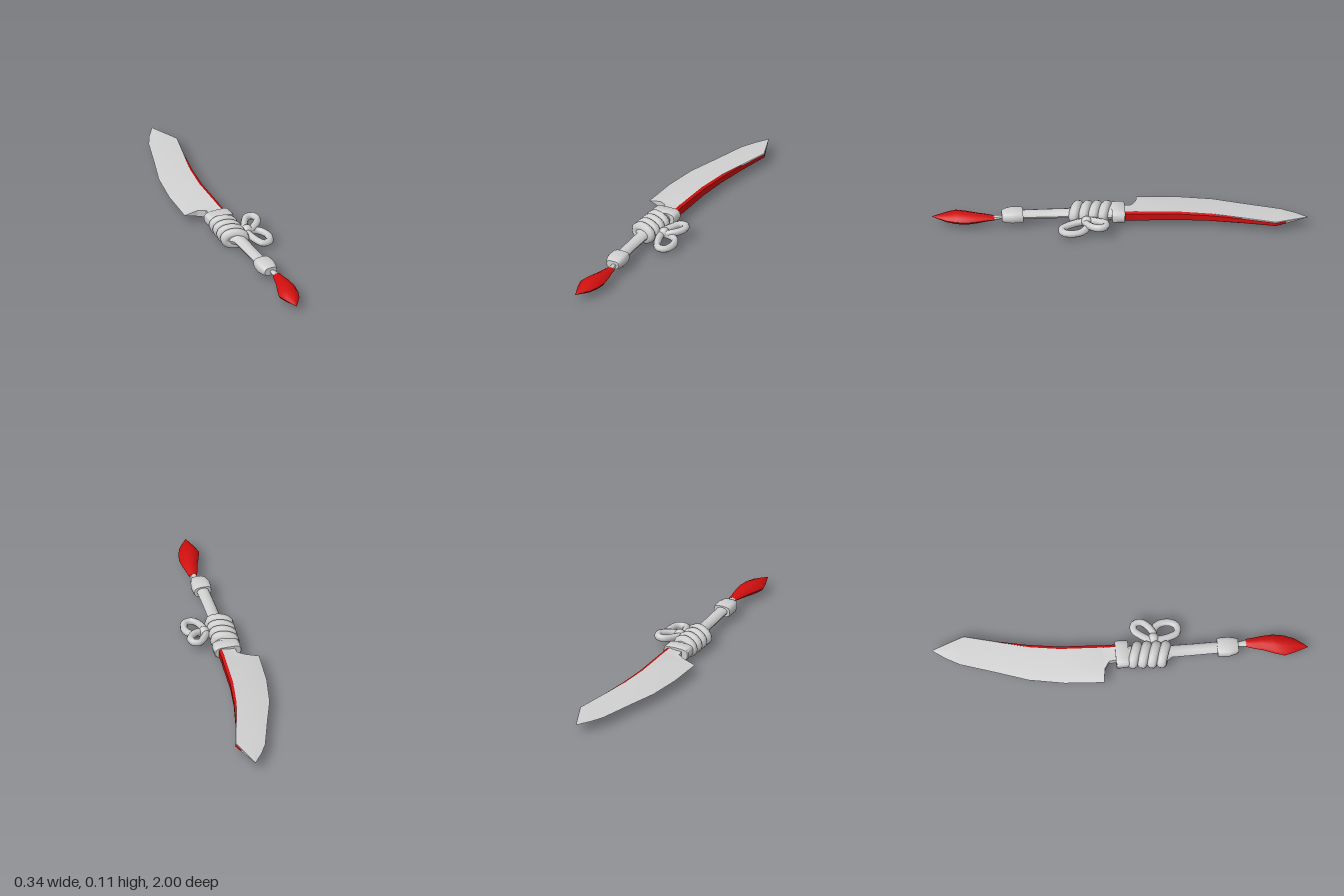
import * as THREE from 'three';
import { toCreasedNormals } from 'three/addons/utils/BufferGeometryUtils.js';

const steel = new THREE.MeshStandardMaterial({ color: 0xd0d0d0 });
steel.name = 'pale grey';
const red = new THREE.MeshStandardMaterial({ color: 0xd00f0f });
red.name = 'red';

// Skins rings of points (counter-clockwise seen from +z, listed from back to front).
// keep(i, j) selects which quads of the skin are built.
function loft(rings, { keep = () => true, caps = true, crease = 0.7 } = {}) {
  const n = rings[0].length, index = [];
  for (let i = 0; i < rings.length - 1; i++) {
    for (let j = 0; j < n; j++) {
      if (!keep(i, j)) continue;
      const a = i * n + j, b = i * n + (j + 1) % n;
      index.push(a, b, b + n, a, b + n, a + n);
    }
  }
  if (caps) {
    const e = (rings.length - 1) * n;
    for (let j = 1; j < n - 1; j++) index.push(0, j + 1, j, e, e + j, e + j + 1);
  }
  const geo = new THREE.BufferGeometry();
  geo.setAttribute('position', new THREE.Float32BufferAttribute(rings.flat(2), 3));
  geo.setIndex(index);
  return toCreasedNormals(geo, crease);
}

// Oval cross-section; power below 1 makes it boxier
function oval([z, cx, cy, rx, ry], sides, power) {
  const bend = (v) => Math.sign(v) * Math.abs(v) ** power;
  return Array.from({ length: sides }, (_, j) => {
    const t = (j / sides) * Math.PI * 2;
    return [cx + rx * bend(Math.cos(t)), cy + ry * bend(Math.sin(t)), z];
  });
}

export function createModel() {
  const model = new THREE.Group();
  model.name = 'sword';
  const add = (name, geo, mat, parent = model) => {
    const mesh = new THREE.Mesh(geo, mat);
    mesh.name = name;
    parent.add(mesh);
    return mesh;
  };
  const body = (name, mat, sections, sides = 12, power = 1, crease = 0.7) =>
    add(name, loft(sections.map((s) => oval(s, sides, power)), { crease }), mat);

  // Blade stations: edge x, edge z, spine x, spine z, half thickness, edge half thickness, bevel width
  const stations = [
    [0.08, -1.0, 0.082, -1.0, 0.001, 0, 0.0005],
    [0.03, -0.93, 0.126, -0.88, 0.009, 0, 0.003],
    [-0.01, -0.857, 0.145, -0.825, 0.012, 0, 0.003],
    [-0.07, -0.67, 0.1, -0.65, 0.017, 0, 0.004],
    [-0.127, -0.5, 0.065, -0.48, 0.021, 0, 0.014],
    [-0.16, -0.31, 0.043, -0.32, 0.024, 0, 0.016],
    [-0.173, -0.1, 0.032, -0.1, 0.027, 0, 0.016],
    [-0.1, -0.09, 0.03, -0.09, 0.027, 0.018, 0.016],
    [-0.062, -0.065, 0.03, -0.065, 0.027, 0.02, 0.016],
    [-0.055, 0, 0.03, 0, 0.027, 0.021, 0.016],
  ];
  const bladeRings = stations.map(([ex, ez, sx, sz, t, e, w]) => {
    const at = (k, h) => [ex + (sx - ex) * k, 0.06 + h, ez + (sz - ez) * k];
    const k = 1 - w / (sx - ex), mid = Math.max(0.65 * t, e);
    return [at(1, -0.75 * t), at(1, 0.75 * t), at(k, t), at(0.36, mid),
      at(0, e), at(0, -e), at(0.36, -mid), at(k, -t)];
  });
  const isRed = (i, j) => (j === 0 && i >= 1) || ((j === 1 || j === 7) && i >= 3);
  const blade = new THREE.Group();
  blade.name = 'blade';
  model.add(blade);
  add('bladeSteel', loft(bladeRings, { keep: (i, j) => !isRed(i, j), crease: 0.4 }), steel, blade);
  add('bladeSpine', loft(bladeRings, { keep: isRed, caps: false, crease: 0.4 }), red, blade);

  // Collar between blade and grip
  body('collar', steel, [
    [-0.028, -0.022, 0.063, 0.07, 0.032],
    [-0.022, -0.022, 0.063, 0.075, 0.036],
    [0.035, -0.022, 0.063, 0.073, 0.036],
    [0.042, -0.022, 0.063, 0.068, 0.032],
  ], 16, 0.6);

  // Grip, thicker underneath the wraps
  body('grip', steel, [
    [0.02, -0.03, 0.06, 0.055, 0.036],
    [0.24, -0.03, 0.06, 0.05, 0.036],
    [0.27, -0.026, 0.062, 0.034, 0.024],
    [0.4, -0.026, 0.064, 0.033, 0.022],
    [0.55, -0.024, 0.064, 0.033, 0.022],
  ], 10);

  // Cord wound around the grip
  const wraps = new THREE.Group();
  wraps.name = 'cordWraps';
  model.add(wraps);
  for (let k = 0; k < 4; k++) {
    const pts = Array.from({ length: 10 }, (_, i) => {
      const t = (i / 10) * Math.PI * 2;
      return new THREE.Vector3(
        -0.03 - k * 0.003 + 0.049 * Math.cos(t),
        0.06 + 0.03 * Math.sin(t),
        0.076 + k * 0.051 + 0.016 * Math.cos(t));
    });
    add('cordWrap', new THREE.TubeGeometry(new THREE.CatmullRomCurve3(pts, true), 24, 0.028, 8, true), steel, wraps);
  }

  // Bow: two loops and a knot
  const bow = new THREE.Group();
  bow.name = 'bow';
  model.add(bow);
  const loops = {
    backLoop: [[0.05, 0.06, 0.17], [0.075, 0.068, 0.115], [0.105, 0.073, 0.08], [0.138, 0.075, 0.084],
      [0.148, 0.073, 0.12], [0.118, 0.068, 0.162], [0.07, 0.06, 0.185]],
    frontLoop: [[0.055, 0.055, 0.19], [0.108, 0.048, 0.185], [0.14, 0.043, 0.215], [0.146, 0.04, 0.27],
      [0.127, 0.038, 0.308], [0.09, 0.039, 0.312], [0.066, 0.045, 0.275]],
  };
  for (const [name, pts] of Object.entries(loops)) {
    const curve = new THREE.CatmullRomCurve3(pts.map((p) => new THREE.Vector3(...p)), true);
    add(name, new THREE.TubeGeometry(curve, 24, 0.02, 7, true), steel, bow);
  }
  const knot = add('knot', new THREE.SphereGeometry(0.03, 10, 8), steel, bow);
  knot.position.set(0.058, 0.06, 0.18);

  // Pommel and the cord end that holds the tassel
  body('pommel', steel, [
    [0.515, -0.024, 0.063, 0.046, 0.03],
    [0.525, -0.024, 0.063, 0.049, 0.033],
    [0.575, -0.025, 0.063, 0.051, 0.033],
    [0.612, -0.024, 0.062, 0.043, 0.028],
    [0.628, -0.022, 0.061, 0.035, 0.022],
  ], 16, 0.6);
  body('tasselCord', steel, [
    [0.615, -0.015, 0.06, 0.013, 0.009],
    [0.685, -0.009, 0.058, 0.02, 0.01],
  ], 8);

  // Tassel
  body('tassel', red, [
    [0.668, -0.009, 0.058, 0.022, 0.01],
    [0.71, -0.014, 0.058, 0.031, 0.016],
    [0.755, -0.016, 0.056, 0.04, 0.024],
    [0.815, -0.025, 0.054, 0.053, 0.032],
    [0.87, -0.038, 0.053, 0.057, 0.032],
    [0.925, -0.041, 0.052, 0.04, 0.021],
    [0.965, -0.048, 0.051, 0.019, 0.01],
    [0.998, -0.055, 0.05, 0.001, 0.001],
  ], 10, 1.15, 0.9);

  return model;
}
